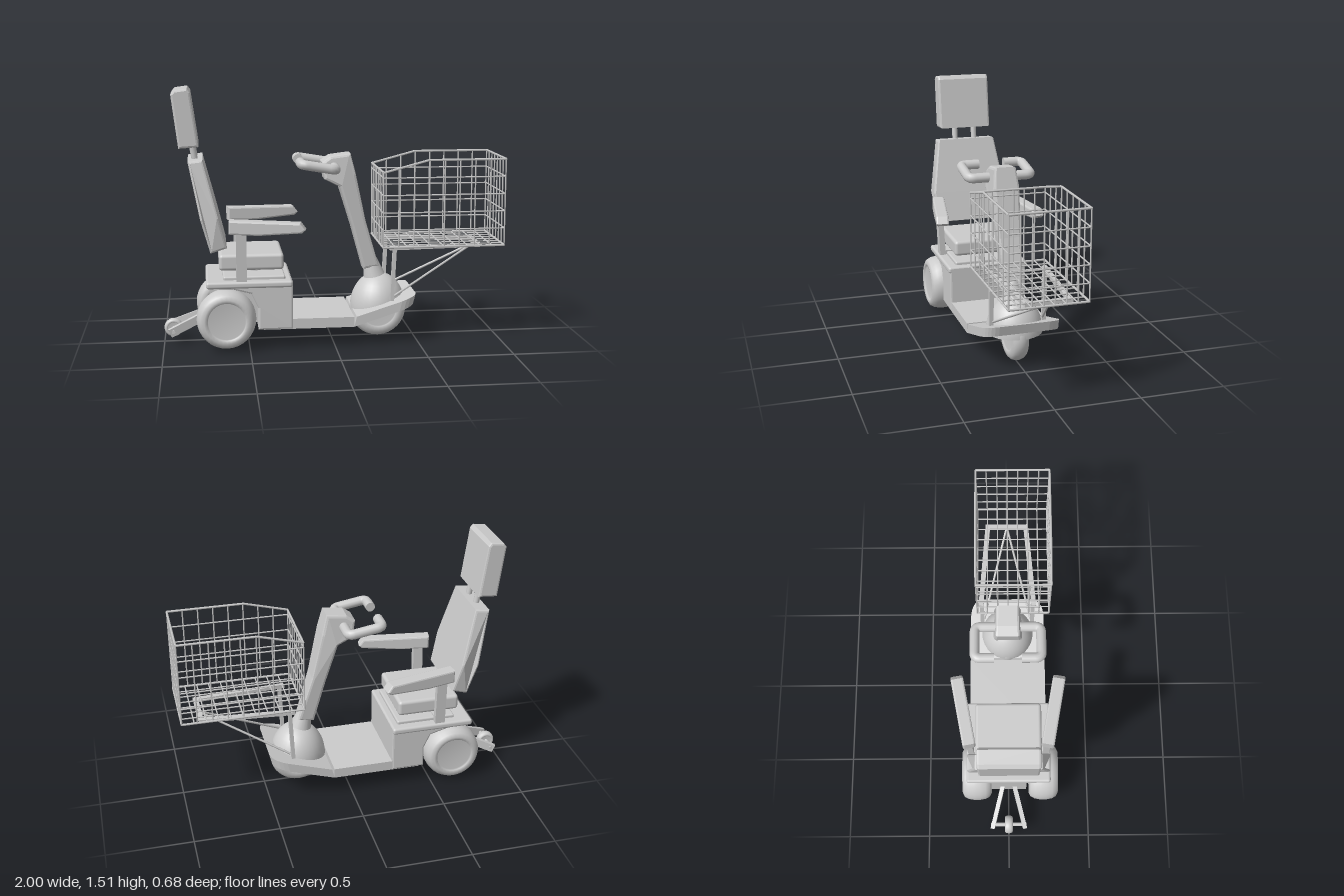
import * as THREE from 'three';
import { RoundedBoxGeometry } from 'three/addons/geometries/RoundedBoxGeometry.js';

const material = new THREE.MeshStandardMaterial({ color: 0xcccccc });
const V = (x, y, z) => new THREE.Vector3(x, y, z);

export function createModel() {
  const model = new THREE.Group();

  const add = (name, geometry, x = 0, y = 0, z = 0, parent = model) => {
    const mesh = new THREE.Mesh(geometry, material);
    mesh.name = name;
    mesh.position.set(x, y, z);
    parent.add(mesh);
    return mesh;
  };

  // Round rod between two points
  const rod = (name, a, b, r, parent = model, sides = 6) => {
    const mesh = add(name, new THREE.CylinderGeometry(r, r, a.distanceTo(b), sides), 0, 0, 0, parent);
    mesh.position.copy(a).add(b).multiplyScalar(0.5);
    mesh.quaternion.setFromUnitVectors(V(0, 1, 0), b.clone().sub(a).normalize());
    return mesh;
  };

  // Rectangular beam between two points: w across, h upright
  const beam = (name, a, b, w, h, parent = model) => {
    const mesh = add(name, new THREE.BoxGeometry(w, h, a.distanceTo(b)), 0, 0, 0, parent);
    mesh.position.copy(a).add(b).multiplyScalar(0.5);
    mesh.lookAt(b);
    return mesh;
  };

  // Side profile extruded across z; widthAt(y) optionally tapers the half-width
  const profile = (name, points, half, bevel = 0.015, widthAt = null) => {
    const shape = new THREE.Shape(points.map(([x, y]) => new THREE.Vector2(x, y)));
    const geometry = new THREE.ExtrudeGeometry(shape, {
      depth: 2 * (half - bevel), bevelEnabled: bevel > 0, bevelSize: bevel,
      bevelThickness: bevel, bevelOffset: -bevel, bevelSegments: 2,
    }).translate(0, 0, bevel - half);
    if (widthAt) {
      const p = geometry.attributes.position;
      for (let i = 0; i < p.count; i++) p.setZ(i, p.getZ(i) * widthAt(p.getY(i)) / half);
      geometry.computeVertexNormals();
    }
    return add(name, geometry);
  };

  // Wheel turned about z: rounded tyre around a recessed hub
  const wheel = (name, r, w, x, y, z, parent = model) => {
    const h = w / 2;
    const pts = [[0, -0.82], [0.62, -0.82], [0.64, -0.95], [0.75, -1], [0.88, -0.88], [0.96, -0.6], [1, -0.2]];
    const all = [...pts, ...pts.slice().reverse().map(([a, b]) => [a, -b])];
    const geometry = new THREE.LatheGeometry(all.map(([a, b]) => new THREE.Vector2(a * r, b * h)), 32);
    return add(name, geometry.rotateX(Math.PI / 2), x, y, z, parent);
  };

  // Foot deck: flat part, then a rounded nose sheared upward
  add('footDeck', new THREE.BoxGeometry(0.53, 0.06, 0.48), -0.155, 0.149, 0);
  const nose = new THREE.Shape();
  nose.moveTo(0.11, -0.24);
  nose.lineTo(0.38, -0.235);
  nose.quadraticCurveTo(0.47, -0.225, 0.475, -0.15);
  nose.lineTo(0.475, 0.15);
  nose.quadraticCurveTo(0.47, 0.225, 0.38, 0.235);
  nose.lineTo(0.11, 0.24);
  const noseGeometry = new THREE.ExtrudeGeometry(nose, { depth: 0.06, bevelEnabled: false, curveSegments: 6 });
  noseGeometry.rotateX(-Math.PI / 2);
  const np = noseGeometry.attributes.position;
  for (let i = 0; i < np.count; i++) {
    const x = np.getX(i), y = np.getY(i);
    np.setXYZ(i, x + y * 0.25, y + 0.119 + (x - 0.11) * 0.31, np.getZ(i));
  }
  noseGeometry.computeVertexNormals();
  add('deckNose', noseGeometry);

  // Rear body with wheel arch, motor housing and lid
  profile('rearBody', [[-0.25, 0.12], [-0.25, 0.4], [-0.72, 0.4], [-0.74, 0.37], [-0.6, 0.365],
    [-0.49, 0.335], [-0.45, 0.25], [-0.45, 0.12]], 0.245, 0.01);
  add('motorHousing', new THREE.BoxGeometry(0.3, 0.25, 0.22), -0.58, 0.255, 0);
  add('bodyLid', new RoundedBoxGeometry(0.5, 0.04, 0.51, 2, 0.015), -0.5, 0.39, 0);
  add('seatPlate', new RoundedBoxGeometry(0.36, 0.03, 0.4, 2, 0.01), -0.47, 0.415, 0);

  // Wheels
  rod('rearAxle', V(-0.635, 0.187, -0.2), V(-0.635, 0.187, 0.22), 0.03, model, 12);
  wheel('rearWheelLeft', 0.172, 0.18, -0.635, 0.187, 0.215);
  wheel('rearWheelRight', 0.172, 0.18, -0.635, 0.187, -0.195);
  wheel('frontWheel', 0.17, 0.1, 0.285, 0.17, 0);

  // Dome fender and steering neck
  const dome = add('frontFender', new THREE.SphereGeometry(0.168, 28, 10, 0, Math.PI * 2, 0, Math.PI / 2), 0.285, 0.18, 0);
  dome.scale.y = 1.25;
  const neck = add('steeringNeck', new THREE.CylinderGeometry(0.042, 0.065, 0.1, 20), 0.25, 0.42, 0);
  neck.rotation.z = 0.25;

  // Steering column, wider toward the head
  profile('steeringColumn', [[0.19, 0.42], [0.285, 0.435], [0.2, 0.72], [0.14, 1.0], [0.11, 1.12], [-0.01, 1.105],
    [-0.06, 1.07], [-0.045, 0.97], [0.045, 0.925], [0.12, 0.68]], 0.08, 0.015,
  (y) => (y < 0.95 ? 0.05 + 0.035 * (y - 0.42) / 0.53 : 0.085 - 0.02 * (y - 0.95) / 0.17));

  // Loop handlebar with inward grips
  const barPath = new THREE.CurvePath();
  const bends = [[-0.19, -0.08], [-0.19, -0.19], [0.01, -0.19], [0.01, 0.19], [-0.19, 0.19], [-0.19, 0.08]]
    .map(([x, z]) => V(x, 1.043 - 0.17 * x, z));
  let start = bends[0];
  for (let i = 1; i < bends.length - 1; i++) {
    const toward = (q) => bends[i].clone().add(q.clone().sub(bends[i]).setLength(0.035));
    const before = toward(bends[i - 1]), after = toward(bends[i + 1]);
    barPath.add(new THREE.LineCurve3(start, before));
    barPath.add(new THREE.QuadraticBezierCurve3(before, bends[i], after));
    start = after;
  }
  barPath.add(new THREE.LineCurve3(start, bends[5]));
  add('handlebar', new THREE.TubeGeometry(barPath, 90, 0.029, 12));
  for (const s of [-1, 1]) {
    const end = bends[0];
    rod('gripEnd', V(end.x, end.y, s * 0.078), V(end.x, end.y, s * 0.09), 0.029, model, 12);
  }

  // Seat
  add('seatPost', new THREE.CylinderGeometry(0.05, 0.05, 0.09, 20), -0.46, 0.44, 0);
  add('seatCushion', new RoundedBoxGeometry(0.375, 0.095, 0.4, 3, 0.02), -0.485, 0.512, 0);
  profile('backrest', [[-0.72, 0.57], [-0.625, 0.6], [-0.67, 0.78], [-0.755, 1.11], [-0.84, 1.1], [-0.775, 0.77]],
    0.24, 0.012, (y) => (y > 0.78 ? 0.24 - 0.055 * (y - 0.78) / 0.33 : 0.24 - 0.03 * (0.78 - y) / 0.2));
  profile('headrest', [[-0.89, 1.172], [-0.775, 1.18], [-0.818, 1.49], [-0.835, 1.512], [-0.91, 1.502], [-0.928, 1.48]],
    0.165, 0.012);

  for (const s of [-1, 1]) {
    rod('headrestPost', V(-0.79, 1.05, s * 0.063), V(-0.82, 1.22, s * 0.063), 0.018, model, 12);

    // Armrests splay outward toward the front
    const arm = profile('armrest', [[-0.22, -0.04], [-0.05, -0.045], [0.2, -0.028], [0.22, -0.01], [0.19, 0.03], [-0.22, 0.04]], 0.038, 0.01);
    arm.position.set(-0.395, 0.73, s * 0.268);
    arm.rotation.y = -s * 0.18;
    beam('armPost', V(-0.545, 0.4, s * 0.225), V(-0.545, 0.71, s * 0.24), 0.06, 0.035);

    // Anti-tip arms
    beam('antiTipArm', V(-0.72, 0.18, s * 0.035), V(-0.965, 0.075, s * 0.1), 0.025, 0.05);

    // Basket supports
    beam('basketUpright', V(0.345, 0.25, s * 0.16), V(0.36, 0.57, s * 0.16), 0.025, 0.022);
    beam('basketRail', V(0.33, 0.568, s * 0.165), V(0.89, 0.568, s * 0.12), 0.03, 0.02);
    rod('basketBrace', V(0.36, 0.275, s * 0.15), V(0.88, 0.56, 0), 0.007);
  }
  beam('armCrossbar', V(-0.545, 0.425, -0.23), V(-0.545, 0.425, 0.23), 0.05, 0.025);
  beam('basketRailFront', V(0.875, 0.568, -0.13), V(0.875, 0.568, 0.13), 0.03, 0.02);
  rod('antiTipAxle', V(-0.945, 0.085, -0.11), V(-0.945, 0.085, 0.11), 0.012, model, 10);
  wheel('antiTipWheel', 0.055, 0.05, -0.945, 0.085, 0);

  // Wire basket with a lowered rear rim
  const basket = new THREE.Group();
  basket.name = 'basket';
  model.add(basket);
  const x0 = 0.275, x1 = 0.992, y0 = 0.592, y1 = 1.1, z0 = -0.187, z1 = 0.257, slopeEnd = 0.54, rear = 1.03;
  const topAt = (x) => Math.min(y1, rear + (y1 - rear) * (x - x0) / (slopeEnd - x0));
  const wire = (a, b, r = 0.0045) => rod('basketWire', a, b, r, basket, 5);
  for (let i = 0; i <= 8; i++) {
    const x = x0 + (x1 - x0) * i / 8;
    for (const z of [z0, z1]) wire(V(x, y0, z), V(x, topAt(x), z));
  }
  for (let i = 0; i <= 10; i++) {
    const x = x0 + (x1 - x0) * i / 10;
    wire(V(x, y0, z0), V(x, y0, z1));
  }
  for (let i = 0; i <= 7; i++) {
    const z = z0 + (z1 - z0) * i / 7;
    wire(V(x0, y0, z), V(x1, y0, z));
    wire(V(x0, y0, z), V(x0, rear, z));
    wire(V(x1, y0, z), V(x1, y1, z));
  }
  for (let j = 1; j < 5; j++) {
    const y = y0 + (y1 - y0) * j / 5;
    for (const z of [z0, z1]) wire(V(x0, y, z), V(x1, y, z));
    for (const x of [x0, x1]) wire(V(x, y, z0), V(x, y, z1));
  }
  for (const z of [z0, z1]) {
    wire(V(x0, rear, z), V(slopeEnd, y1, z), 0.007);
    wire(V(slopeEnd, y1, z), V(x1, y1, z), 0.007);
    wire(V(x0, y0, z), V(x1, y0, z), 0.007);
  }
  for (const [x, y] of [[x0, rear], [x1, y1], [x0, y0], [x1, y0]]) wire(V(x, y, z0), V(x, y, z1), 0.007);

  return model;
}
